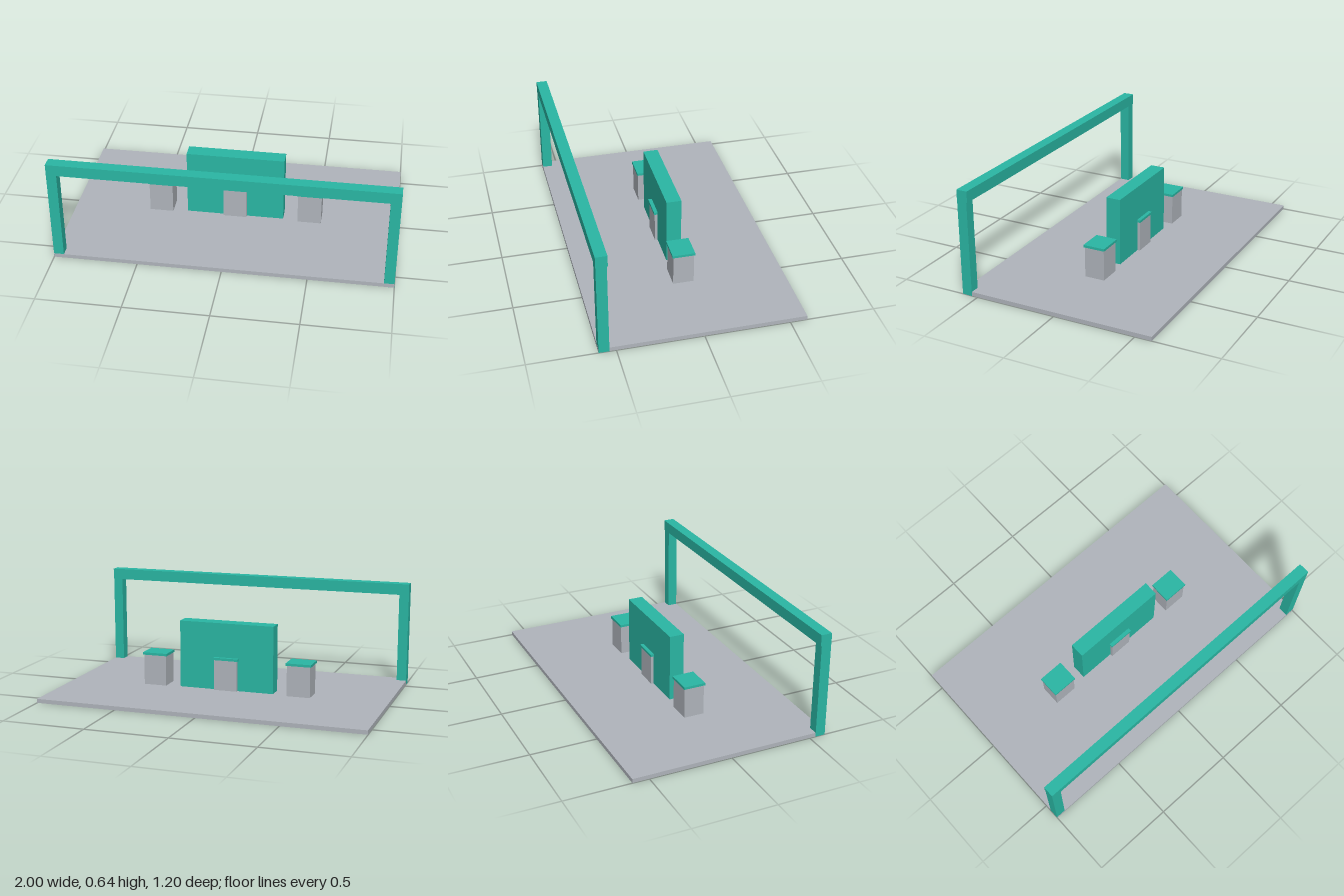
import * as THREE from 'three';

const teal = new THREE.MeshStandardMaterial({ color: 0x2ab7a4 });
teal.name = 'teal';
const grey = new THREE.MeshStandardMaterial({ color: 0xb0b5bc });
grey.name = 'grey';

// Box given by centre x, z, bottom and top heights, width and depth
function block(name, material, x, z, y0, y1, width, depth) {
  const mesh = new THREE.Mesh(new THREE.BoxGeometry(width, y1 - y0, depth), material);
  mesh.name = name;
  mesh.position.set(x, (y0 + y1) / 2, z);
  return mesh;
}

export function createModel() {
  const model = new THREE.Group();
  model.name = 'exhibitionStand';

  // Floor, a hair smaller than the parts let through it
  model.add(block('floor', grey, 0, 0, 0.0006, 0.025, 1.9988, 1.2));

  // Central display wall, running down through the floor
  model.add(block('displayWall', teal, 0, 0, 0, 0.44, 0.596, 0.09));

  // Counters with thin overhanging tops
  for (const x of [-0.46, 0, 0.46]) {
    const counter = new THREE.Group();
    counter.name = 'counter';
    counter.position.x = x;
    counter.add(block('counterBody', grey, 0, 0, 0.025, 0.213, 0.144, 0.124));
    counter.add(block('counterTop', teal, 0, 0, 0.213, 0.228, 0.157, 0.135));
    model.add(counter);
  }

  // Entrance frame along the front edge
  const frame = new THREE.Group();
  frame.name = 'entranceFrame';
  for (const side of [-1, 1]) {
    frame.add(block('framePost', teal, side * 0.97, 0.569, 0, 0.573, 0.06, 0.0608));
  }
  frame.add(block('frameBeam', teal, 0, 0.5665, 0.573, 0.641, 2, 0.067));
  model.add(frame);

  return model;
}
